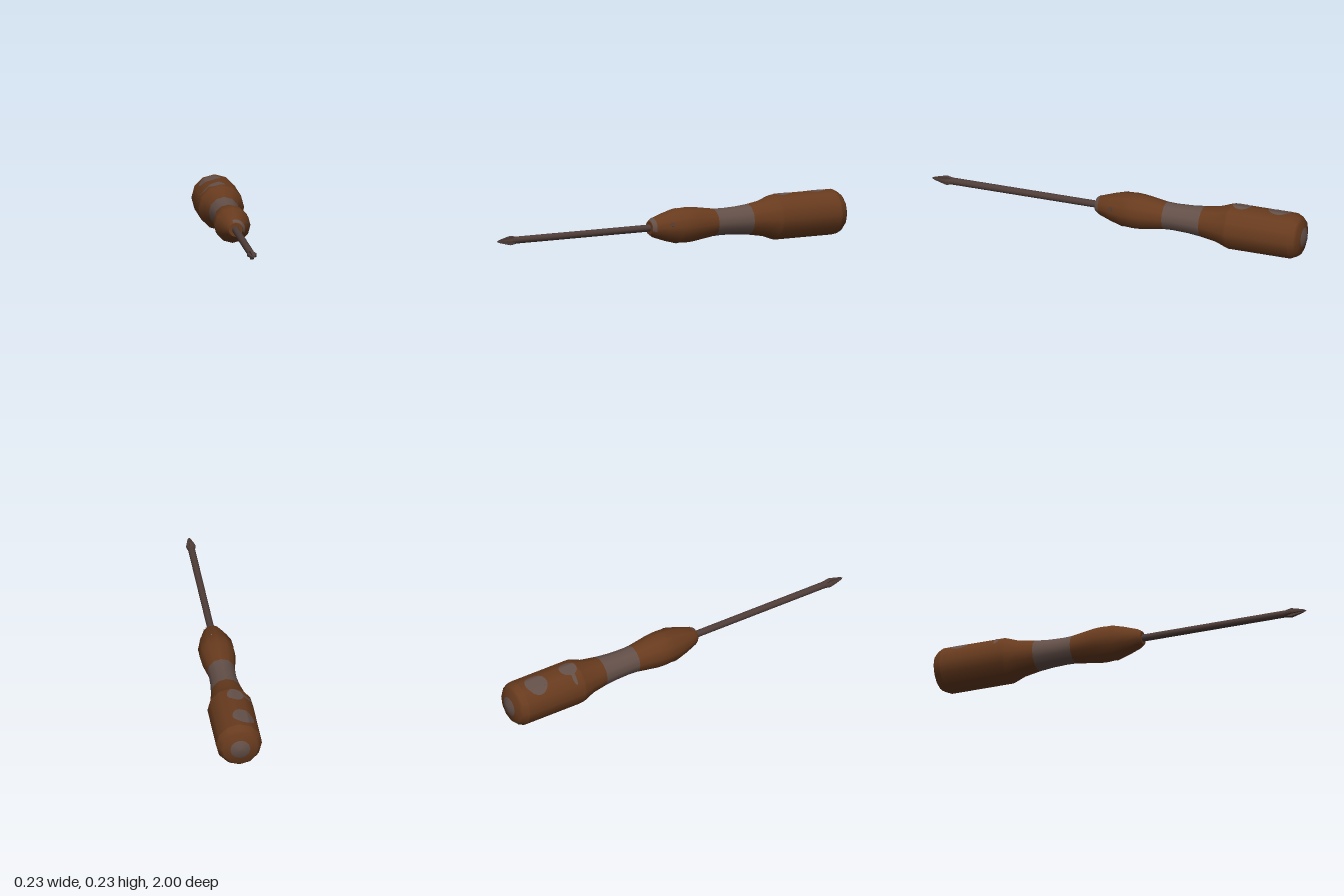
import * as THREE from 'three';

const AXIS_Y = 0.116; // height of the tool's long axis
const R = 0.116; // largest grip radius

export function createModel() {
  const group = new THREE.Group();
  const mat = (name, color, side = THREE.FrontSide) => {
    const m = new THREE.MeshStandardMaterial({ color, side });
    m.name = name;
    return m;
  };
  const brown = mat('brown wood', 0x683b1e, THREE.DoubleSide);
  const grey = mat('worn grey', 0x645049);
  const steel = mat('dark steel', 0x4f3d38);

  const add = (name, geo, material) => {
    const mesh = new THREE.Mesh(geo, material);
    mesh.name = name;
    mesh.position.y = AXIS_Y;
    group.add(mesh);
    return mesh;
  };
  // Turned part along z: pairs of [z, radius] from back to front
  const turned = (pts, sides = 12, start = 0, sweep = Math.PI * 2) =>
    new THREE.LatheGeometry(pts.map(([z, r]) => new THREE.Vector2(r, z)), sides, start, sweep)
      .rotateX(Math.PI / 2);

  // Handle
  add('endCap', turned([[-1, 0], [-0.998, 0.025], [-0.987, 0.051]]), grey);
  add('handleEnd', turned([[-0.987, 0.051], [-0.976, 0.09], [-0.965, 0.102], [-0.935, R]]), brown);
  add('grip', turned([[-0.935, R], [-0.605, R], [-0.59, 0.112], [-0.535, 0.092],
    [-0.45, 0.078]]), brown);
  add('waistBand', turned([[-0.45, 0.078], [-0.38, 0.071], [-0.3, 0.068], [-0.25, 0.07]]), grey);
  add('handleNeck', turned([[-0.25, 0.07], [-0.19, 0.079], [-0.13, 0.088], [-0.09, 0.09],
    [-0.035, 0.087], [-0.01, 0.07], [0, 0]]), brown);

  // Collar with its front ring, a worn edge and a small pin
  add('collar', turned([[-0.037, 0.09], [0.03, 0.072], [0.1, 0.048], [0.118, 0.035]]), brown);
  add('collarRing', turned([[0.118, 0.035], [0.118, 0.016]]), brown);
  add('collarWornEdge', turned([[0.098, 0.0505], [0.1015, 0.0495], [0.117, 0.038]], 10,
    Math.PI * 0.4, Math.PI * 0.7), grey);
  const pin = add('collarPin', new THREE.CylinderGeometry(0.01, 0.01, 0.006, 12), steel);
  const outward = new THREE.Vector3(0.068, 0.02, 0.02).normalize();
  pin.quaternion.setFromUnitVectors(new THREE.Vector3(0, 1, 0), outward);
  pin.position.set(0.068, AXIS_Y + 0.02, 0.022);

  // Worn patches laid over the facets of the grip
  const facetHeight = (x) => {
    let y = Infinity;
    for (const deg of [-75, -45, -15, 15, 45, 75]) {
      const a = THREE.MathUtils.degToRad(deg);
      y = Math.min(y, (R * Math.cos(Math.PI / 12) - x * Math.sin(a)) / Math.cos(a));
    }
    return y;
  };
  const patch = (name, cx, cz, rx, rz) => {
    const geo = new THREE.RingGeometry(0.0001, 1, 24, 10).rotateX(-Math.PI / 2);
    const p = geo.attributes.position;
    for (let i = 0; i < p.count; i++) {
      const x = cx + p.getX(i) * rx;
      p.setXYZ(i, x, facetHeight(x) + 0.0015, cz + p.getZ(i) * rz);
    }
    geo.computeVertexNormals();
    add(name, geo, grey);
  };
  patch('rearPatch', -0.033, -0.848, 0.054, 0.06);
  patch('frontPatch', -0.018, -0.65, 0.042, 0.048);
  patch('frontPatchTail', -0.072, -0.645, 0.028, 0.011);

  // Shaft and cross-point tip
  add('shaft', turned([[0.09, 0.018], [0.9, 0.018]]), steel);
  const tip = turned([[0.89, 0.018], [0.92, 0.024], [0.95, 0.017], [0.985, 0.008], [1, 0]], 16);
  const p = tip.attributes.position;
  for (let i = 0; i < p.count; i++) {
    if (p.getZ(i) < 0.9) continue;
    // pinch the vertices between the four blades into flutes
    const a = Math.atan2(p.getY(i), p.getX(i));
    const k = Math.abs(Math.cos(2 * a)) < 0.1 ? 0.5 : 1;
    p.setXY(i, p.getX(i) * k, p.getY(i) * k);
  }
  const flat = tip.toNonIndexed();
  flat.computeVertexNormals();
  add('tip', flat, steel);

  return group;
}
